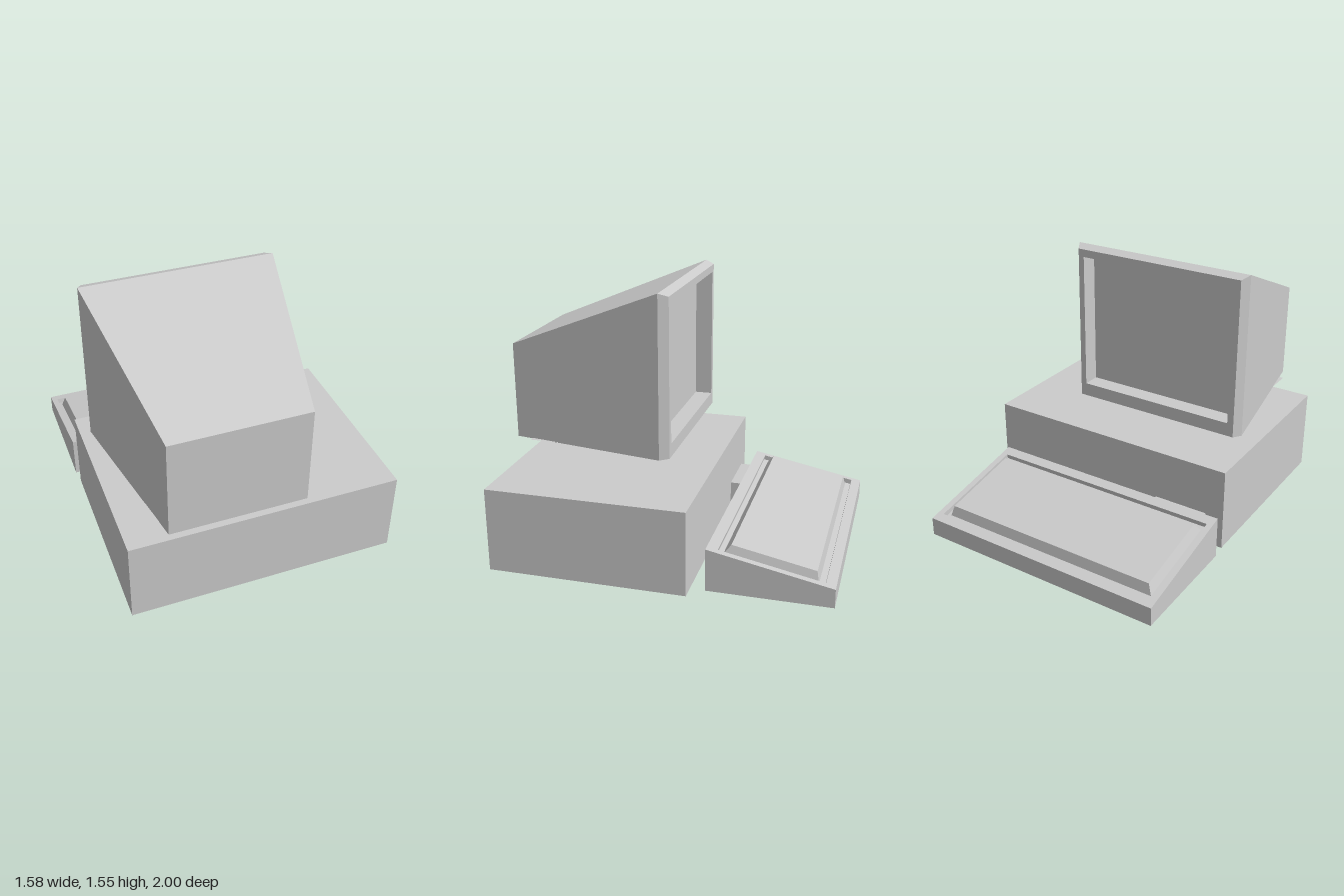
import * as THREE from 'three';

const material = new THREE.MeshStandardMaterial({ color: 0xcccccc, flatShading: true });

// Skins a series of four-cornered rings and caps both ends.
function loft(name, rings) {
  const pos = [];
  const quad = (a, b, c, d) => pos.push(...a, ...b, ...c, ...a, ...c, ...d);
  for (let i = 0; i < rings.length - 1; i++) {
    const a = rings[i], b = rings[i + 1];
    for (let j = 0; j < 4; j++) {
      const k = (j + 1) % 4;
      quad(a[j], a[k], b[k], b[j]);
    }
  }
  const s = rings[0], e = rings[rings.length - 1];
  quad(s[0], s[3], s[2], s[1]);
  quad(e[0], e[1], e[2], e[3]);
  const geometry = new THREE.BufferGeometry();
  geometry.setAttribute('position', new THREE.Float32BufferAttribute(pos, 3));
  geometry.computeVertexNormals();
  const mesh = new THREE.Mesh(geometry, material);
  mesh.name = name;
  return mesh;
}

// Box given by its lower and upper limits.
function block(name, x0, x1, y0, y1, z0, z1) {
  const mesh = new THREE.Mesh(new THREE.BoxGeometry(x1 - x0, y1 - y0, z1 - z0), material);
  mesh.position.set((x0 + x1) / 2, (y0 + y1) / 2, (z0 + z1) / 2);
  mesh.name = name;
  return mesh;
}

// Upright ring, for shapes that run from +z towards -z.
const upright = (x0, x1, y0, y1, z) => [[x1, y0, z], [x0, y0, z], [x0, y1, z], [x1, y1, z]];

// Lying ring, for shapes that run upwards; the height may depend on z.
const lying = (x0, x1, z0, z1, h) =>
  [[x0, h(z1), z1], [x1, h(z1), z1], [x1, h(z0), z0], [x0, h(z0), z0]];
const level = (y) => () => y;

export function createModel() {
  const model = new THREE.Group();

  // Computer case and swivel neck
  model.add(block('computerCase', -0.78, 0.785, 0, 0.495, -0.21, 0.945));
  model.add(block('monitorNeck', -0.385, 0.005, 0.49, 0.594, 0.28, 0.675));

  // Shallow swell under the monitor
  model.add(loft('monitorUnderside', [
    lying(-0.42, 0.04, 0.27, 0.7, level(0.588)),
    lying(-0.62, 0.25, 0.12, 0.9, level(0.598)),
  ]));

  // Monitor: tapered housing, bevelled bezel, recessed screen
  model.add(loft('monitor', [
    upright(-0.575, 0.2, 0.595, 1.175, 1),
    upright(-0.74, 0.365, 0.595, 1.555, 0.06),
    upright(-0.71, 0.335, 0.6, 1.535, 0.005),
    upright(-0.672, 0.3, 0.68, 1.49, 0.005),
    upright(-0.672, 0.3, 0.68, 1.49, 0.11),
  ]));

  // Keyboard: sloping wedge with a sunken tray
  const slope = (offset) => (z) => 0.25 + 0.1986 * (z + 0.295) + offset;
  const keyboard = new THREE.Group();
  keyboard.name = 'keyboard';
  keyboard.add(loft('keyboardBody', [
    lying(-0.79, 0.7, -1, -0.295, level(0)),
    lying(-0.79, 0.7, -1, -0.295, slope(0)),
    lying(-0.755, 0.662, -0.944, -0.357, slope(0)),
    lying(-0.755, 0.662, -0.938, -0.351, slope(-0.03)),
  ]));

  // Raised key block with bevelled sides
  keyboard.add(loft('keyBlock', [
    lying(-0.732, 0.64, -0.905, -0.38, slope(-0.031)),
    lying(-0.71, 0.62, -0.892, -0.422, slope(0.031)),
  ]));
  model.add(keyboard);

  // Link between keyboard and case
  model.add(block('keyboardConnector', -0.67, -0.34, 0.05, 0.195, -0.3, -0.205));

  return model;
}
